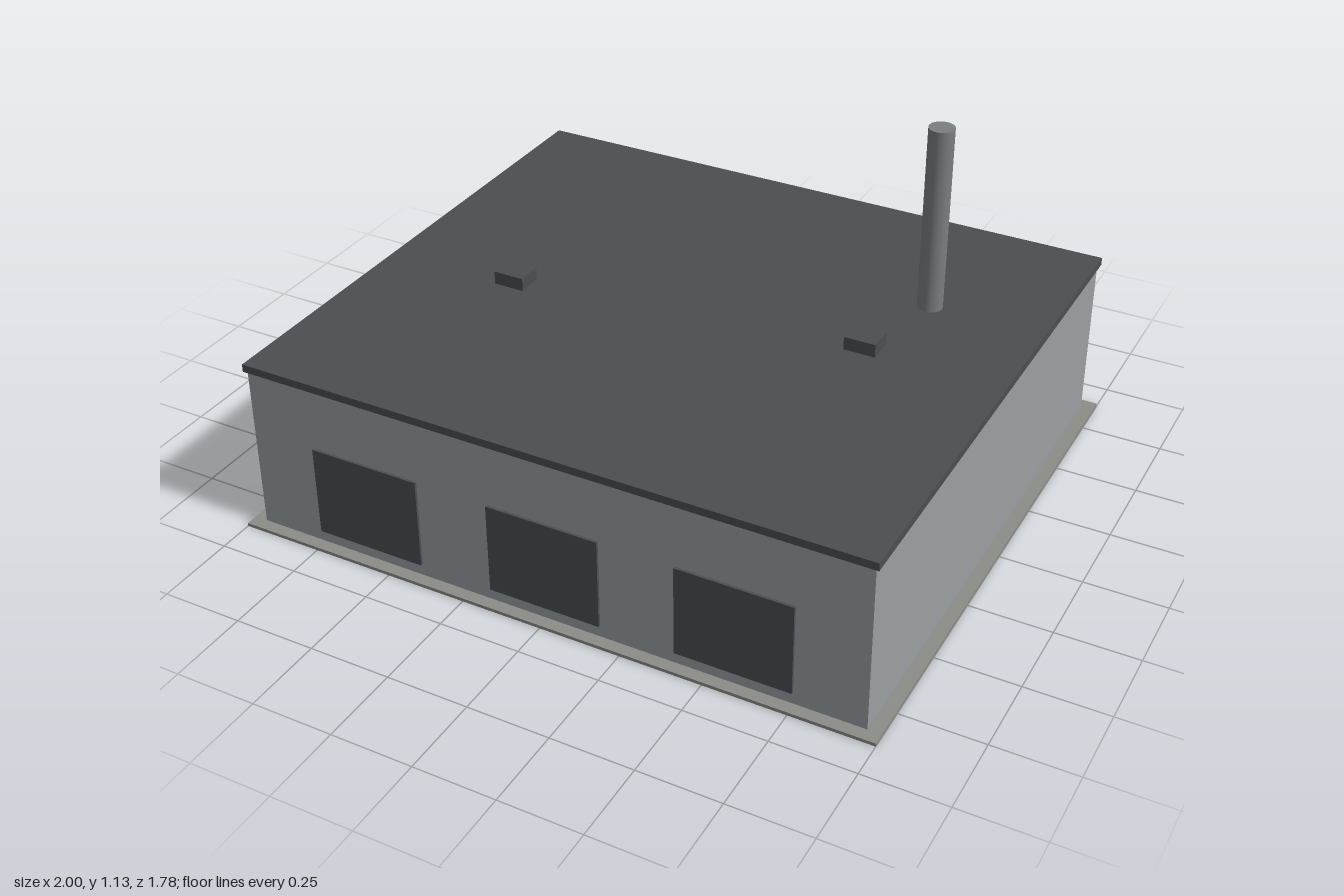
import * as THREE from 'three';

export function createModel() {
  const model = new THREE.Group();
  const paint = (color) => new THREE.MeshStandardMaterial({ color });
  const wallMat = paint(0x9a9fa2);
  const roofMat = paint(0x4a4e52);
  const slabMat = paint(0x8c8c88);
  const stackMat = paint(0x7a7f80);

  const add = (name, geometry, material, x, y, z) => {
    const mesh = new THREE.Mesh(geometry, material);
    mesh.name = name;
    mesh.position.set(x, y, z);
    model.add(mesh);
  };
  // Box placed by the height of its underside
  const box = (name, material, w, h, d, x, bottom, z) =>
    add(name, new THREE.BoxGeometry(w, h, d), material, x, bottom + h / 2, z);

  // Ground slab, building body and overhanging flat roof
  box('groundSlab', slabMat, 2, 0.01, 1.78, 0, 0, 0);
  box('walls', wallMat, 1.92, 0.518, 1.704, 0, 0.01, 0);
  box('roof', roofMat, 1.94, 0.024, 1.72, 0, 0.527, 0);

  // Three loading doors on the front wall
  for (const i of [-1, 0, 1]) {
    box(`loadingDoor${i + 2}`, roofMat, 0.347, 0.283, 0.016, i * 0.577 - 0.002, 0.048, 0.852);
  }

  // Rooftop vents
  for (const [i, x, z] of [[1, -0.541, 0.102], [2, 0.536, -0.042]]) {
    box(`roofVent${i}`, roofMat, 0.097, 0.041, 0.08, x, 0.551, z);
  }

  // Chimney stack
  add('chimney', new THREE.CylinderGeometry(0.0385, 0.0385, 0.58, 24), stackMat, 0.613, 0.841, -0.342);

  return model;
}
